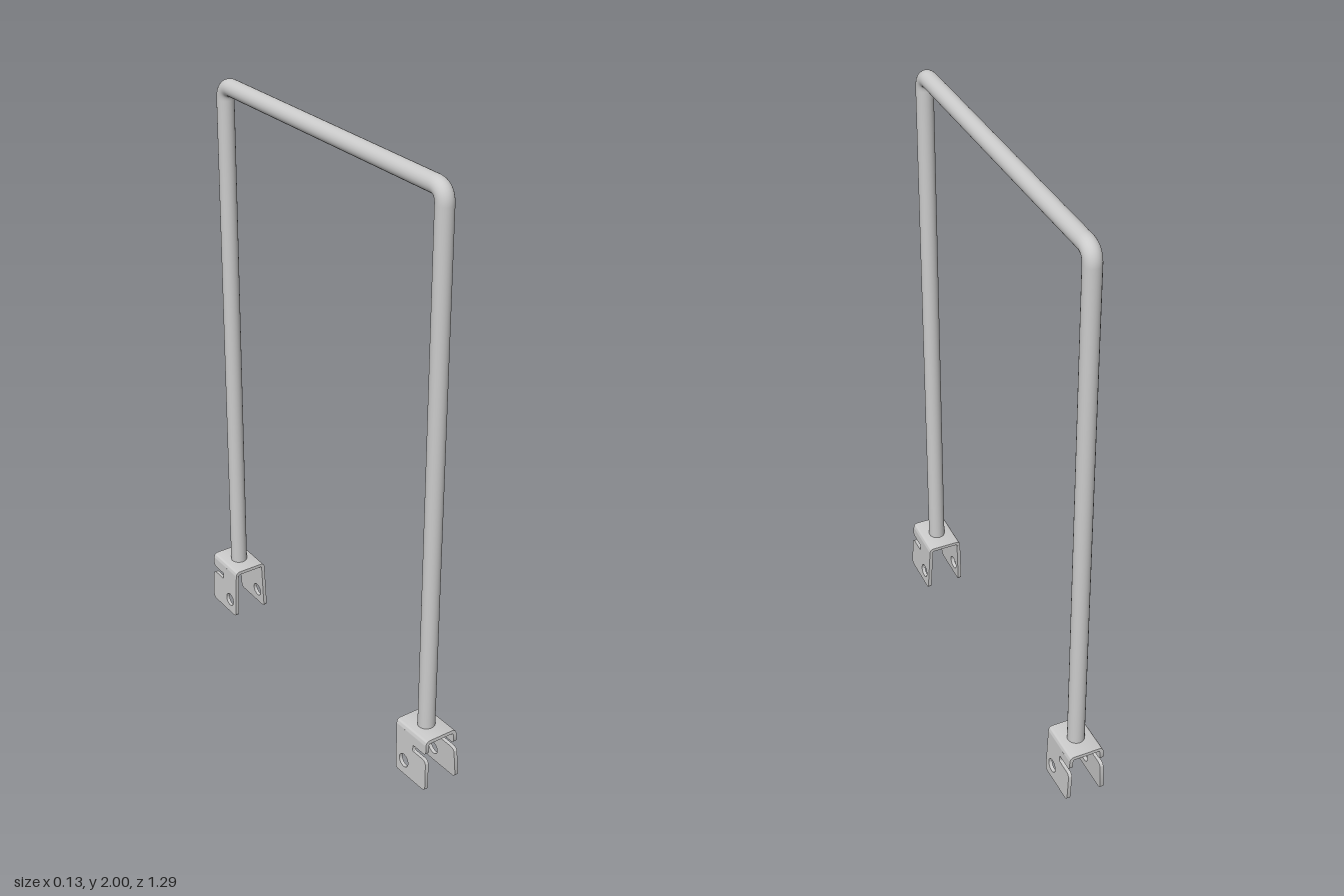
import * as THREE from 'three';
import { toCreasedNormals } from 'three/addons/utils/BufferGeometryUtils.js';

const metal = new THREE.MeshStandardMaterial({ color: 0xcccccc });
const TUBE_R = 0.028;
const HEIGHT = 0.185, HALF = 0.077, THICK = 0.012, ROOF_W = 0.059, BEND = 0.018;

function mesh(name, geometry) {
  const m = new THREE.Mesh(geometry, metal);
  m.name = name;
  return m;
}

// polygon of [x, y, cornerRadius] with rounded corners
function roundedShape(points) {
  const s = new THREE.Shape();
  const n = points.length;
  points.forEach(([x, y, r], i) => {
    const p = new THREE.Vector2(x, y);
    const toward = ([qx, qy]) => new THREE.Vector2(qx, qy).sub(p).setLength(r).add(p);
    const a = toward(points[(i + n - 1) % n]), b = toward(points[(i + 1) % n]);
    if (i === 0) s.moveTo(a.x, a.y); else s.lineTo(a.x, a.y);
    if (r > 0) s.quadraticCurveTo(x, y, b.x, b.y);
  });
  s.closePath();
  return s;
}

function extrude(shape, depth) {
  const g = new THREE.ExtrudeGeometry(shape, { depth, bevelEnabled: false, curveSegments: 8 });
  g.translate(0, 0, -depth / 2);
  return toCreasedNormals(g, 0.6);
}

// folded bracket with its slots opening towards +z
function createBracket(name) {
  const bracket = new THREE.Group();
  bracket.name = name;
  const wallTop = HEIGHT - BEND;

  // top plate with its two folded edges
  const w = ROOF_W, wi = ROOF_W - THICK, ri = BEND - THICK;
  const roof = roundedShape([
    [-w, wallTop, 0], [-wi, wallTop, 0], [-wi, HEIGHT - THICK, ri], [wi, HEIGHT - THICK, ri],
    [wi, wallTop, 0], [w, wallTop, 0], [w, HEIGHT, BEND], [-w, HEIGHT, BEND],
  ]);
  bracket.add(mesh('bracketTop', extrude(roof, HALF * 2)));

  // slotted side wall with a bolt hole, drawn as (z, y)
  const wall = roundedShape([
    [-HALF, 0, 0.012], [HALF, 0, 0.018], [HALF, 0.113, 0.018], [0.01, 0.113, 0.004],
    [0.01, 0.135, 0.004], [HALF, 0.135, 0.014], [HALF, wallTop, 0], [-HALF, wallTop, 0],
  ]);
  const hole = new THREE.Path();
  hole.absarc(-0.036, 0.05, 0.023, 0, Math.PI * 2, true);
  wall.holes.push(hole);
  const wallGeometry = extrude(wall, THICK);
  wallGeometry.rotateY(-Math.PI / 2);
  wallGeometry.translate(0, -wallTop, 0);

  // the walls splay slightly outwards towards the bottom
  for (const side of [1, -1]) {
    const m = mesh(side > 0 ? 'leftWall' : 'rightWall', wallGeometry);
    m.position.set(side * (ROOF_W - THICK / 2), wallTop, 0);
    m.rotation.z = side * 0.04;
    bracket.add(m);
  }
  return bracket;
}

// bent round bar made of straight runs and tight bends
function createBar() {
  const bar = new THREE.Group();
  bar.name = 'bentBar';
  const v = (y, z) => new THREE.Vector3(0, y, z);
  const corners = [v(0.18, 0.56), v(1.973, 0.56), v(1.944, -0.567), v(0.176, -0.567)];
  const names = ['frontLeg', 'topRail', 'backLeg'];
  const cut = 0.045;
  const toward = (a, b) => b.clone().sub(a).setLength(cut).add(a);

  names.forEach((name, i) => {
    const a = corners[i], b = corners[i + 1];
    const start = i > 0 ? toward(a, b) : a;
    const end = i < 2 ? toward(b, a) : b;
    bar.add(mesh(name, new THREE.TubeGeometry(new THREE.LineCurve3(start, end), 1, TUBE_R, 24)));
    if (i < 2) {
      const bend = new THREE.QuadraticBezierCurve3(end, b, toward(b, corners[i + 2]));
      bar.add(mesh(i ? 'backBend' : 'frontBend', new THREE.TubeGeometry(bend, 12, TUBE_R, 24)));
    }
  });
  return bar;
}

export function createModel() {
  const model = new THREE.Group();
  model.name = 'barWithBrackets';
  model.add(createBar());

  // the front bracket sits a little tilted
  const front = createBracket('frontBracket');
  front.position.set(0, 0.005, 0.571);
  front.rotation.x = -0.06;
  model.add(front);

  const back = createBracket('backBracket');
  back.position.set(0, 0, -0.567);
  back.rotation.y = Math.PI;
  model.add(back);

  return model;
}
